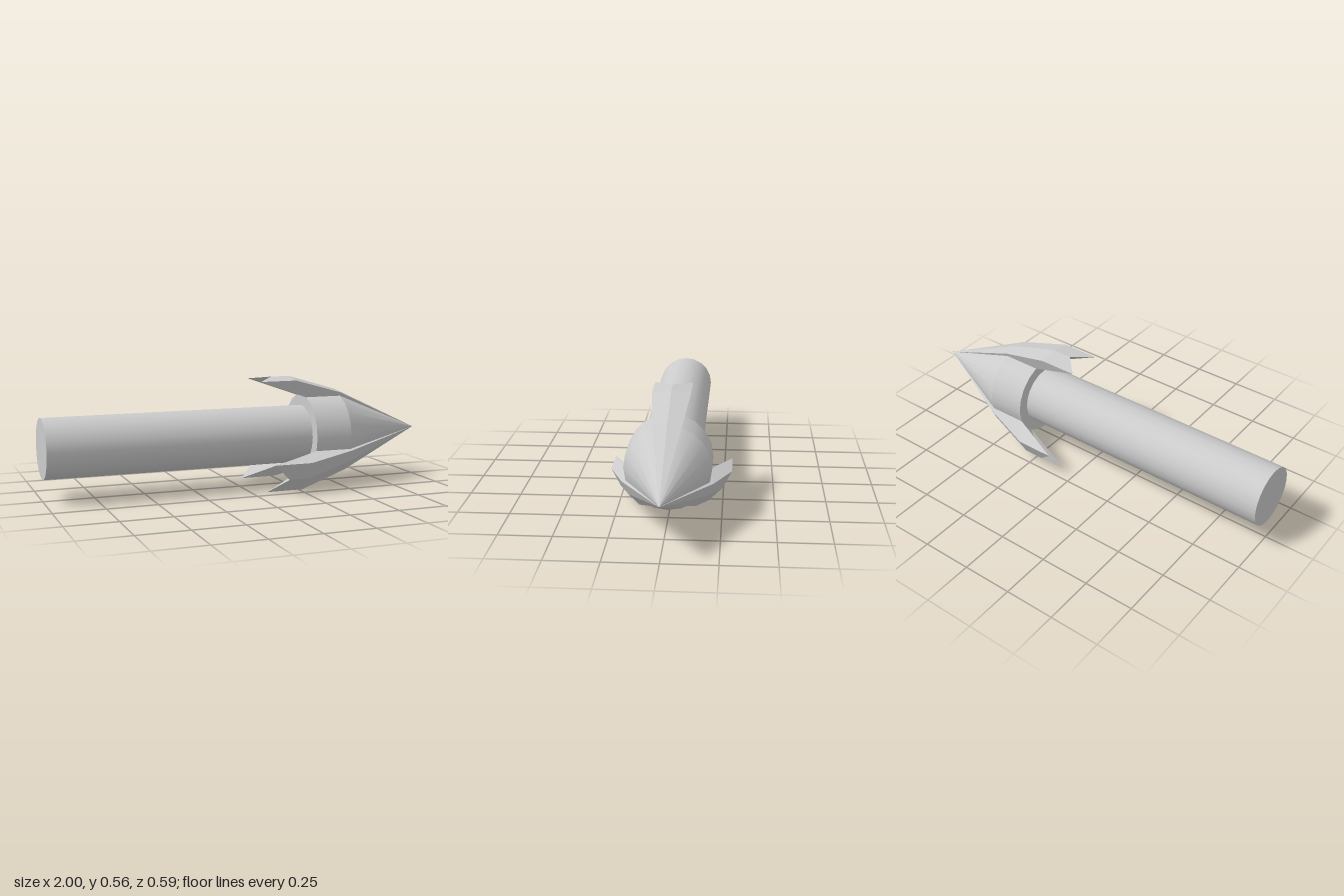
import * as THREE from 'three';

const AXIS_Y = 0.26, HEAD_R = 0.204, SIDES = 20;
const STEP = (Math.PI * 2) / SIDES;

// Cylinder or cone lying along x, from x0 (radius r0) to x1 (radius r1)
function along(name, x0, x1, r0, r1, open, material) {
  const geo = new THREE.CylinderGeometry(r1, r0, x1 - x0, SIDES, 1, open);
  geo.rotateZ(-Math.PI / 2);
  geo.translate((x0 + x1) / 2, AXIS_Y, 0);
  const mesh = new THREE.Mesh(geo, material);
  mesh.name = name;
  return mesh;
}

// Solid barb two head facets wide, centred on an angle measured from the top
function barbGeometry(angle, outerR, drop) {
  const column = (j) => {
    const a = angle + (j - 1) * STEP;
    const p = (x, r, dy = 0) => [x, AXIS_Y + r * Math.cos(a) + dy, r * Math.sin(a)];
    return [
      p(1, 0),                                   // tip
      p(0.53, 0.223),                            // bend over the cone base
      p(0.27, outerR, drop),                     // shoulder
      p(j === 1 ? 0.17 : 0.08, outerR, drop),    // notched back end
      p(0.34, HEAD_R),                           // collar rim
    ];
  };
  const cols = [0, 1, 2].map(column);
  const pos = [];
  const tri = (...points) => points.forEach((p) => pos.push(...p));

  // Outer skin and underside
  for (let j = 0; j < 2; j++) {
    const l = cols[j], r = cols[j + 1];
    for (let i = 0; i < 4; i++) {
      tri(l[i + 1], r[i + 1], r[i]);
      if (i > 0) tri(l[i + 1], r[i], l[i]);
    }
  }
  // Flat side walls
  for (let i = 0; i < 3; i++) {
    const l = cols[0], r = cols[2];
    tri(l[4], l[i + 1], l[i]);
    tri(r[4], r[i], r[i + 1]);
  }
  const geo = new THREE.BufferGeometry();
  geo.setAttribute('position', new THREE.Float32BufferAttribute(pos, 3));
  geo.computeVertexNormals();
  return geo;
}

export function createModel() {
  const group = new THREE.Group();
  group.name = 'harpoon';
  const smooth = new THREE.MeshStandardMaterial({ color: 0xcccccc });
  const flat = new THREE.MeshStandardMaterial({ color: 0xcccccc, flatShading: true });

  // Shaft, collar and pointed head
  group.add(along('shaft', -1, 0.36, 0.148, 0.148, false, smooth));
  group.add(along('collar', 0.34, 0.53, HEAD_R, HEAD_R, false, smooth));
  group.add(along('point', 0.53, 1, HEAD_R, 0, true, smooth));

  // Three barbs, lined up with the head's facets
  const barbs = [
    ['topBarb', 0, 0.3, 0],
    ['frontBarb', 7 * STEP, 0.308, -0.006],
    ['backBarb', -7 * STEP, 0.308, -0.006],
  ];
  for (const [name, angle, radius, drop] of barbs) {
    const barb = new THREE.Mesh(barbGeometry(angle, radius, drop), flat);
    barb.name = name;
    group.add(barb);
  }
  return group;
}
